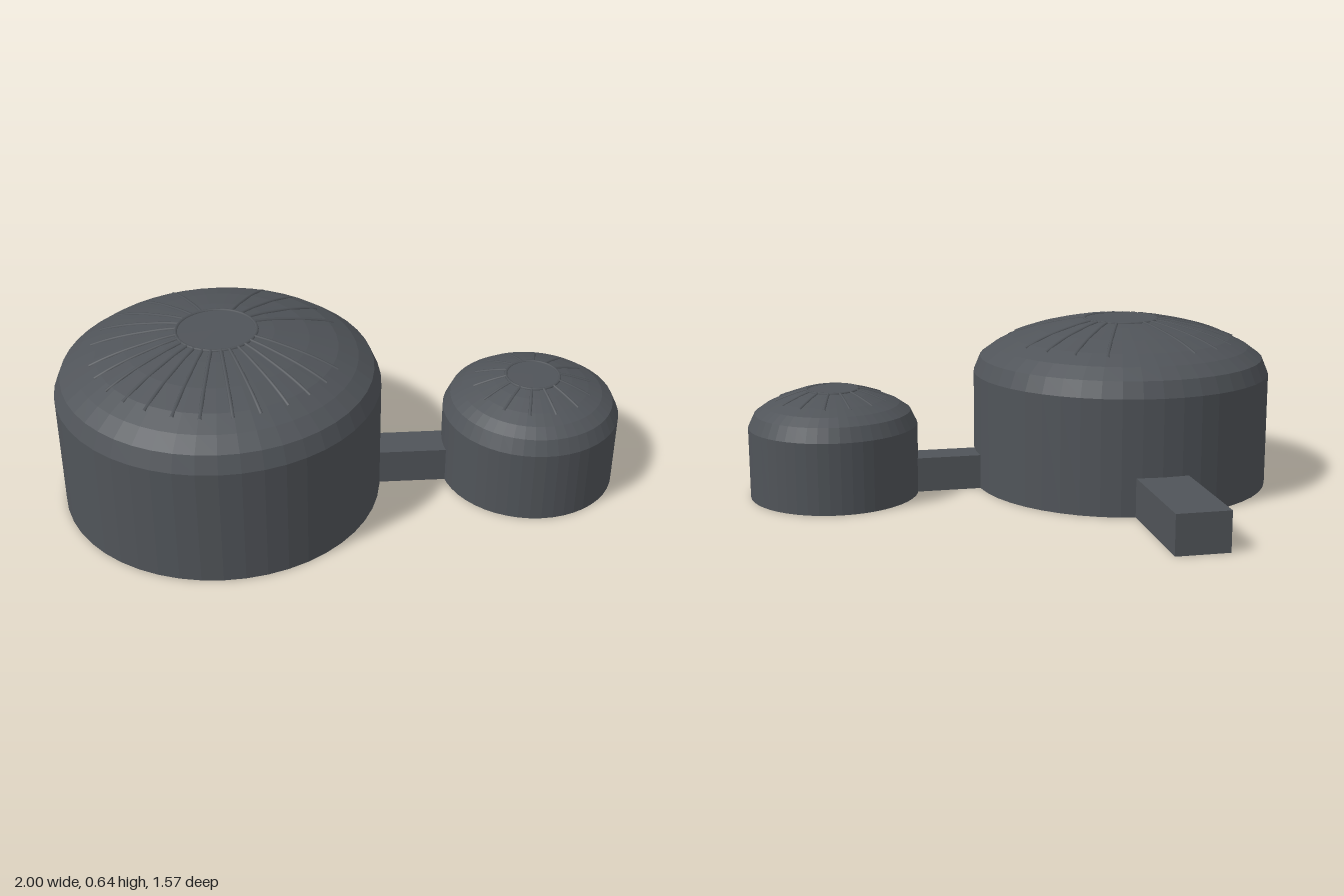
import * as THREE from 'three';

const slate = new THREE.MeshStandardMaterial({ color: 0x505459 });
slate.name = 'darkSlate';

function add(parent, name, geometry, x = 0, y = 0, z = 0) {
  const mesh = new THREE.Mesh(geometry, slate);
  mesh.name = name;
  mesh.position.set(x, y, z);
  parent.add(mesh);
  return mesh;
}

// Height of a dome profile at a given radius
function heightAt(profile, r) {
  for (let i = 1; i < profile.length; i++) {
    const [r0, y0] = profile[i - 1], [r1, y1] = profile[i];
    if (r <= r0 && r >= r1) return y0 + (y1 - y0) * (r0 - r) / (r0 - r1);
  }
  return profile[profile.length - 1][1];
}

// Closed drum with a domed roof, a raised central ring and radial ribs
function createTank(name, profile, ringRadius, ribEnd, ribAngles, thickness) {
  const tank = new THREE.Group();
  tank.name = name;
  const points = [[0, 0], [profile[0][0], 0], ...profile].map(([r, y]) => new THREE.Vector2(r, y));
  const shell = new THREE.LatheGeometry(points, 48).toNonIndexed();
  shell.computeVertexNormals();
  add(tank, 'domedShell', shell);

  const ring = new THREE.TorusGeometry(ringRadius, thickness, 6, 36).rotateX(Math.PI / 2);
  add(tank, 'roofRing', ring, 0, heightAt(profile, ringRadius) - thickness * 0.3, 0);

  // One rib bent along the roof, reused at each angle
  const path = [];
  for (let i = 0; i <= 6; i++) {
    const r = ringRadius + (ribEnd - ringRadius) * i / 6;
    path.push(new THREE.Vector3(0, heightAt(profile, r) - thickness * 0.2, -r));
  }
  const rib = new THREE.TubeGeometry(new THREE.CatmullRomCurve3(path), 12, thickness, 6);
  for (const degrees of ribAngles) {
    add(tank, 'roofRib', rib).rotation.y = -THREE.MathUtils.degToRad(degrees);
  }
  return tank;
}

export function createModel() {
  const model = new THREE.Group();
  model.name = 'twinTanks';

  // Large tank; angles are measured from the back, mirrored left and right
  const half = [22, 38, 54, 69, 112, 124, 136, 148, 161, 173];
  const large = createTank('largeTank',
    [[0.57, 0.43], [0.545, 0.49], [0.49, 0.53], [0.42, 0.565], [0.32, 0.597], [0.2, 0.623], [0.14, 0.631], [0, 0.632]],
    0.14, 0.44, [...half, ...half.map(a => -a), -83, -101], 0.007);
  large.position.set(-0.43, 0, 0.215);
  model.add(large);

  // Small tank
  const small = createTank('smallTank',
    [[0.315, 0.265], [0.29, 0.317], [0.25, 0.345], [0.2, 0.367], [0.14, 0.388], [0.095, 0.4], [0, 0.401]],
    0.095, 0.21, Array.from({ length: 14 }, (_, i) => (i + 0.5) * 360 / 14), 0.006);
  small.position.set(0.685, 0, 0.215);
  model.add(small);

  // Square ducts at ground level
  add(model, 'linkDuct', new THREE.BoxGeometry(0.34, 0.13, 0.125), 0.255, 0.065, 0.213);
  add(model, 'rearDuct', new THREE.BoxGeometry(0.195, 0.145, 0.5), -0.432, 0.0725, -0.537);

  return model;
}
